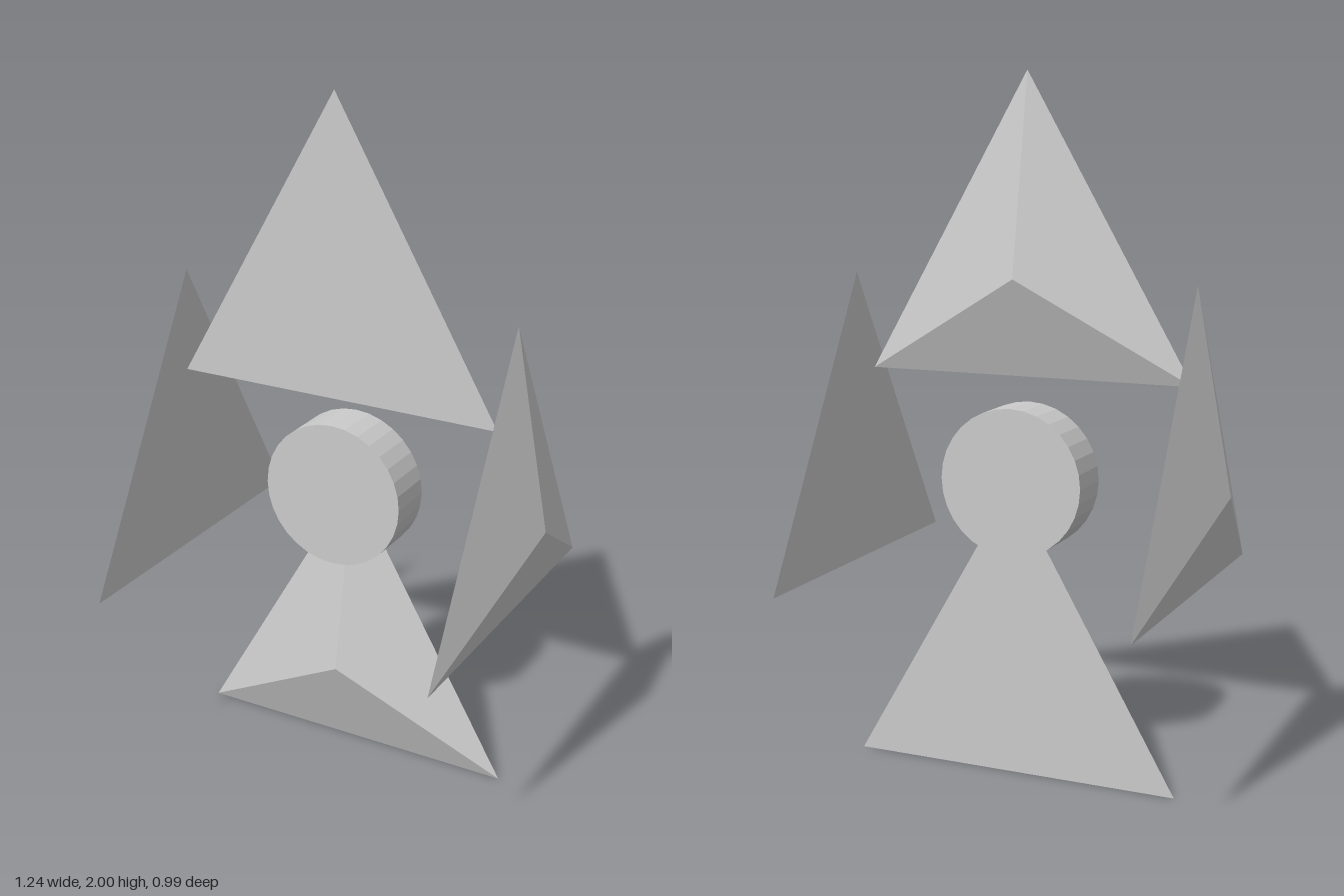
import * as THREE from 'three';

export function createModel() {
  const model = new THREE.Group();
  const material = new THREE.MeshStandardMaterial({ color: 0xcccccc, flatShading: true });

  // Shallow three-sided pyramid: one corner up, apex towards +z
  const radius = 0.569, depth = 0.104;
  const fin = new THREE.ConeGeometry(radius, depth, 3);
  fin.rotateY(Math.PI);
  fin.rotateX(Math.PI / 2);

  const addFin = (name, x, y, turn) => {
    const mesh = new THREE.Mesh(fin, material);
    mesh.name = name;
    mesh.position.set(x, y, 0);
    mesh.rotation.y = turn;
    model.add(mesh);
  };
  addFin('bottomPyramid', 0, radius / 2, 0);
  addFin('topPyramid', 0, 2 - radius, Math.PI);
  addFin('leftPyramid', 0.57, 0.861, Math.PI / 2);
  addFin('rightPyramid', -0.57, 0.861, -Math.PI / 2);

  // Central hub disc facing front and back
  const hub = new THREE.Mesh(new THREE.CylinderGeometry(0.213, 0.213, 0.142, 32), material);
  hub.name = 'hubDisc';
  hub.rotation.x = Math.PI / 2;
  hub.position.y = 0.859;
  model.add(hub);

  return model;
}
